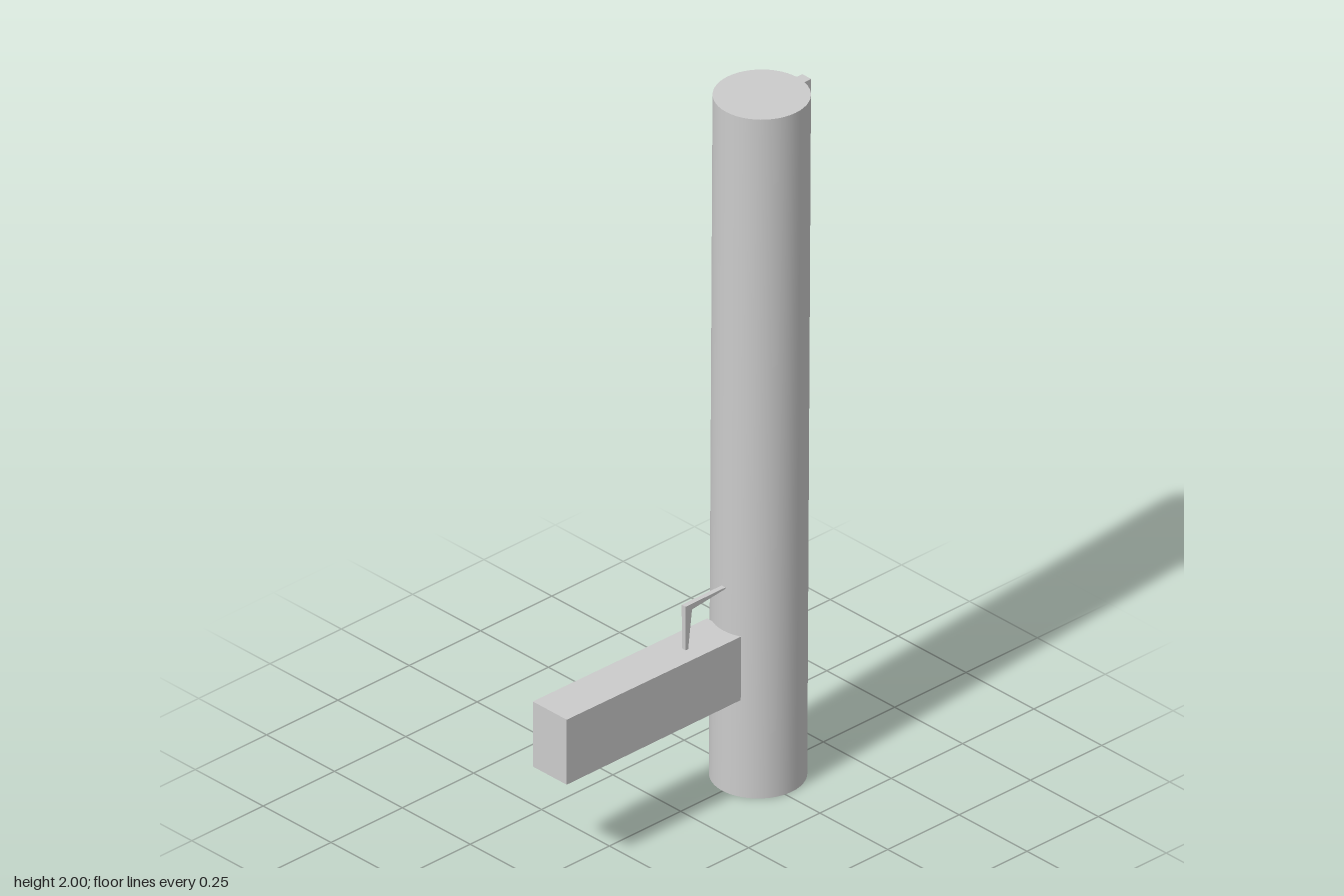
import * as THREE from 'three';

const material = new THREE.MeshStandardMaterial({ color: 0xcccccc });

function addMesh(group, name, geometry) {
  const mesh = new THREE.Mesh(geometry, material);
  mesh.name = name;
  group.add(mesh);
  return mesh;
}

// Box given by its lower and upper corners
function boxBetween(a, b) {
  return new THREE.BoxGeometry(b[0] - a[0], b[1] - a[1], b[2] - a[2])
    .translate((a[0] + b[0]) / 2, (a[1] + b[1]) / 2, (a[2] + b[2]) / 2);
}

// Move every vertex by a rule
function bend(geometry, rule) {
  const p = geometry.attributes.position;
  const v = new THREE.Vector3();
  for (let i = 0; i < p.count; i++) {
    v.fromBufferAttribute(p, i);
    rule(v);
    p.setXYZ(i, v.x, v.y, v.z);
  }
  geometry.computeBoundingSphere();
  return geometry;
}

export function createModel() {
  const model = new THREE.Group();
  model.name = 'tubeWithGrip';

  // Long closed tube, leaning slightly with level ends
  const tube = new THREE.CylinderGeometry(0.125, 0.125, 2, 48).translate(0.272, 1, -0.001);
  addMesh(model, 'tube', bend(tube, (v) => { v.x += 0.0065 * v.y; }));

  // Rectangular grip, butting against the side of the tube
  const grip = boxBetween([-0.449, 0.285, -0.073], [0.162, 0.472, 0.052]);
  addMesh(model, 'grip', bend(grip, (v) => { if (v.x < 0 && v.y > 0.4) v.y = 0.477; }));

  // Thin tapered trigger arm, bent down to the grip
  const outline = new THREE.Shape([
    [0.012, 0.468], [0.02, 0.468], [0.034, 0.585], [0.165, 0.599], [0.165, 0.602], [0.011, 0.602],
  ].map(([x, y]) => new THREE.Vector2(x, y)));
  const trigger = new THREE.ExtrudeGeometry(outline, { depth: 0.014, bevelEnabled: false });
  trigger.translate(0, 0, -0.008);
  // Widen the inside corner towards the back
  bend(trigger, (v) => { if (v.z < 0 && Math.abs(v.x - 0.034) < 0.002) v.z = -0.014; });
  trigger.computeVertexNormals();
  addMesh(model, 'trigger', trigger);

  // Small sight block at the upper end
  addMesh(model, 'sight', boxBetween([0.395, 1.911, -0.021], [0.446, 1.986, 0.012]));

  return model;
}
